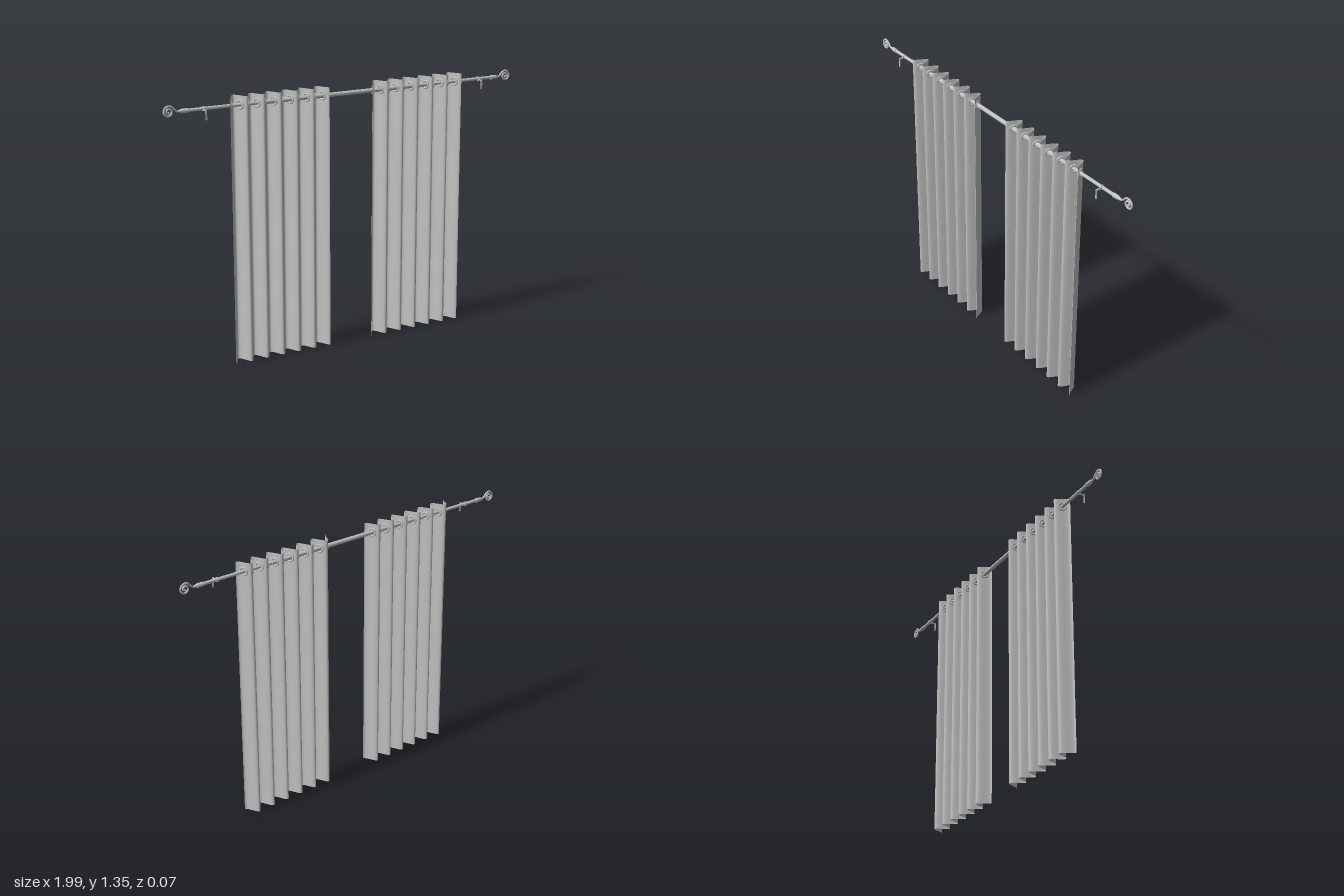
import * as THREE from 'three';

const ROD_Y = 1.3, PERIOD = 0.09, FOLDS = 6, DEPTH = 0.033, TOP = 1.345;

export function createModel() {
  const model = new THREE.Group();
  const fabric = new THREE.MeshStandardMaterial({ color: 0xc4c4c4, side: THREE.DoubleSide });
  fabric.name = 'grey fabric';
  const metal = new THREE.MeshStandardMaterial({ color: 0xc0c0c0 });
  metal.name = 'grey metal';

  const add = (parent, name, geometry, material, x = 0, y = 0, z = 0) => {
    const mesh = new THREE.Mesh(geometry, material);
    mesh.name = name;
    mesh.position.set(x, y, z);
    parent.add(mesh);
    return mesh;
  };
  // Cylinder lying along x
  const bar = (r0, r1, length, sides = 20) =>
    new THREE.CylinderGeometry(r1, r0, length, sides).rotateZ(-Math.PI / 2);

  // Telescopic rod: wide middle sleeve, thinner ends
  add(model, 'rodSleeve', bar(0.011, 0.011, 0.96), metal, 0, ROD_Y, 0);
  add(model, 'rod', bar(0.0085, 0.0085, 1.78), metal, 0, ROD_Y, 0);

  // Pleated curtains, hung on eyelets where the cloth crosses the rod
  const width = PERIOD * FOLDS;
  const wave = (x) => DEPTH * Math.cos((x * Math.PI * 2) / PERIOD);
  const eyelet = new THREE.TorusGeometry(0.0185, 0.0045, 10, 28);
  const slope = Math.atan((DEPTH * Math.PI * 2) / PERIOD);
  for (const [side, x0] of [['right', -0.665], ['left', 0.121]]) {
    const curtain = new THREE.Group();
    curtain.name = side + 'Curtain';
    curtain.position.x = x0;
    const cloth = new THREE.PlaneGeometry(width, TOP, FOLDS * 20, 1);
    cloth.translate(width / 2, TOP / 2, 0);
    const p = cloth.attributes.position;
    for (let i = 0; i < p.count; i++) p.setZ(i, wave(p.getX(i)));
    cloth.computeVertexNormals();
    add(curtain, 'cloth', cloth, fabric);
    for (let i = 0; i < FOLDS * 2; i++) {
      const ring = add(curtain, 'eyelet', eyelet, metal, (i + 0.5) * PERIOD / 2, ROD_Y, 0);
      ring.rotation.y = i % 2 ? -slope : slope;
    }
    model.add(curtain);
  }

  // Scrolled finial path: short S-curve, then an inward spiral
  const points = [[0.905, 0], [0.92, -0.001], [0.931, 0.006]];
  for (let i = 0; i <= 20; i++) {
    const a = THREE.MathUtils.degToRad(145 - i * 30), r = 0.029 - i * 0.00115;
    points.push([0.966 + r * Math.cos(a), r * Math.sin(a) + 0.001]);
  }
  const path = new THREE.CatmullRomCurve3(points.map(([x, y]) => new THREE.Vector3(x, y, 0)));
  const scroll = new THREE.TubeGeometry(path, 120, 0.005, 10);

  // Ends and wall brackets, the same on both sides
  for (const s of [1, -1]) {
    const finial = new THREE.Group();
    finial.name = s > 0 ? 'leftFinial' : 'rightFinial';
    finial.position.y = ROD_Y;
    finial.rotation.y = s > 0 ? 0 : Math.PI;
    add(finial, 'collar', bar(0.0115, 0.0105, 0.03), metal, 0.885);
    add(finial, 'neck', bar(0.0095, 0.005, 0.02), metal, 0.91);
    add(finial, 'scroll', scroll, metal);
    add(finial, 'scrollTip', new THREE.SphereGeometry(0.006, 12, 8), metal, points.at(-1)[0], points.at(-1)[1]);
    model.add(finial);

    const bracket = new THREE.Group();
    bracket.name = s > 0 ? 'leftBracket' : 'rightBracket';
    bracket.position.set(0.79 * s, ROD_Y, 0);
    add(bracket, 'clamp', bar(0.0115, 0.0115, 0.008), metal);
    add(bracket, 'arm', new THREE.BoxGeometry(0.008, 0.006, 0.034), metal, 0, -0.004, 0.017);
    add(bracket, 'wallPlate', new THREE.BoxGeometry(0.008, 0.05, 0.004), metal, 0, -0.024, 0.033);
    model.add(bracket);
  }
  return model;
}
